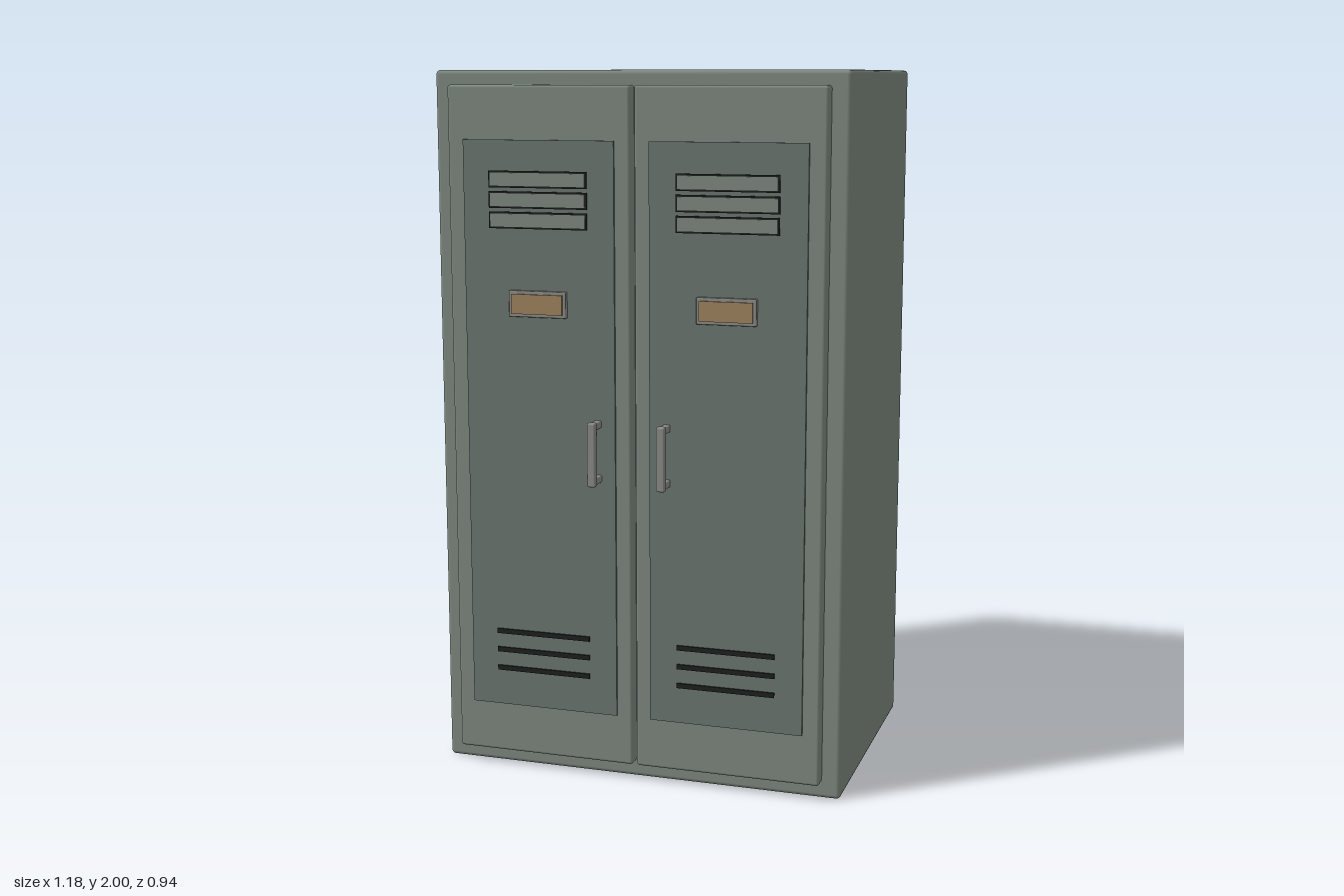
import * as THREE from 'three';
import { RoundedBoxGeometry } from 'three/addons/geometries/RoundedBoxGeometry.js';

const mat = (color) => new THREE.MeshStandardMaterial({ color });

export function createModel() {
  const model = new THREE.Group();
  model.name = 'locker';
  const paint = mat(0x7f8a80), inset = mat(0x6c7770), dark = mat(0x1c201e);
  const metal = mat(0x8c8c88), card = mat(0xa08560);

  // Box given by its min and max on each axis, with optional rounded edges
  function box(parent, name, material, [x0, x1], [y0, y1], [z0, z1], r = 0) {
    const size = [x1 - x0, y1 - y0, z1 - z0];
    const geometry = r ? new RoundedBoxGeometry(...size, 2, r) : new THREE.BoxGeometry(...size);
    const mesh = new THREE.Mesh(geometry, material);
    mesh.position.set((x0 + x1) / 2, (y0 + y1) / 2, (z0 + z1) / 2);
    mesh.name = name;
    parent.add(mesh);
  }

  // Cabinet and the narrower back panel
  box(model, 'cabinet', paint, [-0.59, 0.59], [0, 2], [-0.432, 0.365], 0.012);
  box(model, 'backPanel', paint, [-0.55, 0.55], [0, 2], [-0.472, -0.42], 0.004);

  // Two mirrored doors
  for (const side of [1, -1]) {
    const door = new THREE.Group();
    door.name = side > 0 ? 'leftDoor' : 'rightDoor';
    model.add(door);
    const span = (a, b) => (side > 0 ? [a, b] : [-b, -a]);

    box(door, 'doorLeaf', paint, span(0.006, 0.538), [0.048, 1.96], [0.355, 0.404], 0.008);
    box(door, 'doorPanel', inset, span(0.05, 0.49), [0.193, 1.812], [0.4, 0.411]);

    // Upper louvres with dark surrounds, lower narrow slots
    for (let i = 0; i < 3; i++) {
      const y = 1.705 - i * 0.056;
      box(door, 'upperSlot', dark, span(0.127, 0.414), [y - 0.023, y + 0.023], [0.405, 0.415]);
      box(door, 'upperLouvre', paint, span(0.132, 0.409), [y - 0.018, y + 0.018], [0.405, 0.418]);
      const low = 0.413 - i * 0.055;
      box(door, 'lowerSlot', dark, span(0.13, 0.411), [low - 0.007, low + 0.007], [0.405, 0.416]);
    }

    // Name card in its holder
    box(door, 'cardHolder', metal, span(0.187, 0.355), [1.327, 1.4], [0.405, 0.425], 0.003);
    box(door, 'nameCard', card, span(0.196, 0.346), [1.336, 1.391], [0.41, 0.431]);

    // Pull handle: grip on two posts
    const handle = new THREE.Group();
    handle.name = 'handle';
    door.add(handle);
    box(handle, 'handleGrip', metal, span(0.088, 0.112), [0.868, 1.048], [0.45, 0.472], 0.005);
    for (const y of [0.881, 1.035])
      box(handle, 'handlePost', metal, span(0.09, 0.11), [y - 0.01, y + 0.01], [0.405, 0.46], 0.003);
  }
  return model;
}
